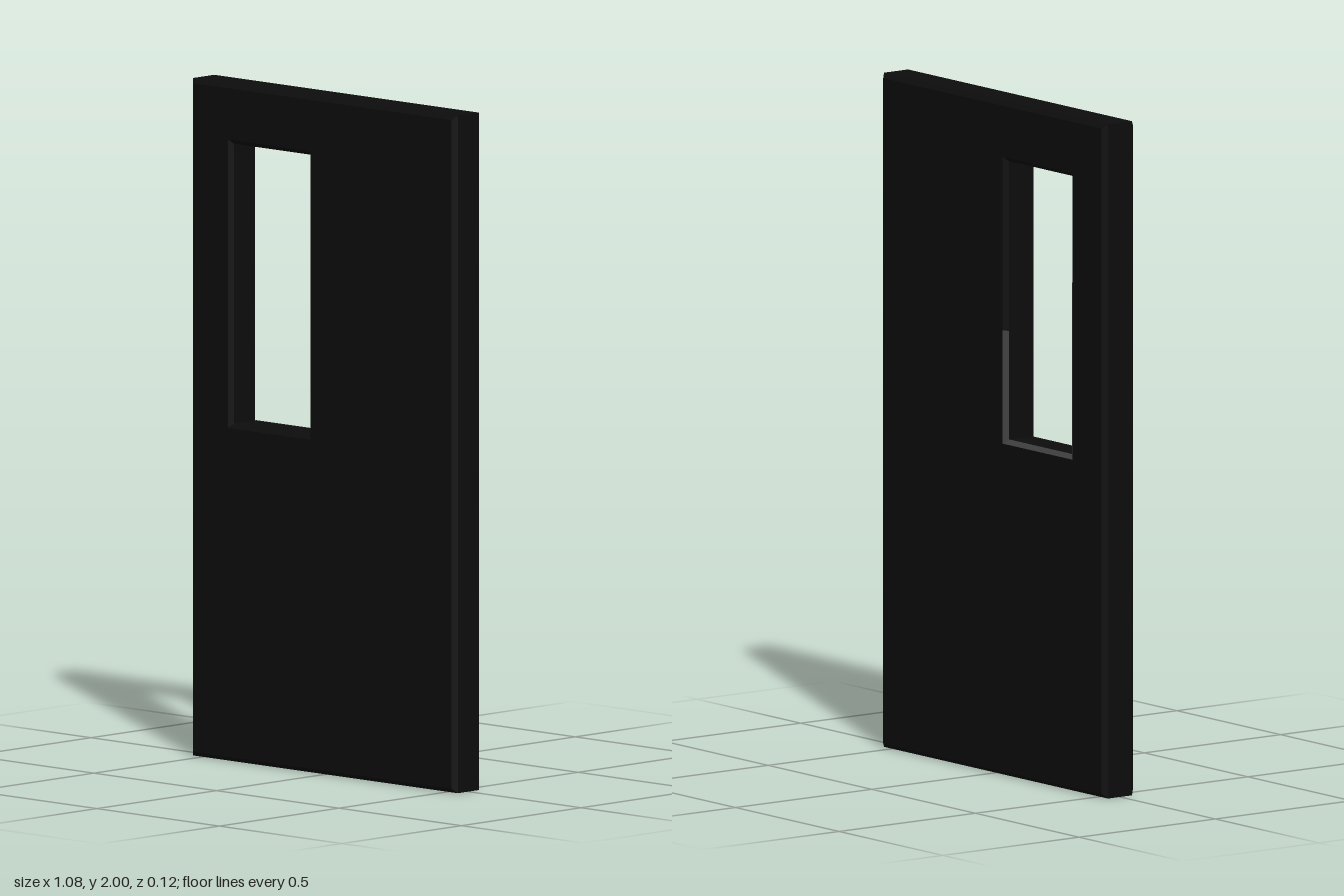
import * as THREE from 'three';

const W = 0.54, H = 2, D = 0.057, B = 0.013;          // half width, height, half depth, chamfer
const X0 = -0.373, X1 = -0.062, Y0 = 0.997, Y1 = 1.823; // window opening

function rect(path, x0, y0, x1, y1) {
  path.moveTo(x0, y0);
  path.lineTo(x1, y0);
  path.lineTo(x1, y1);
  path.lineTo(x0, y1);
  path.closePath();
  return path;
}

// thin four-cornered strip
function strip(name, corners, material) {
  const g = new THREE.BufferGeometry();
  g.setAttribute('position', new THREE.Float32BufferAttribute(corners.flat(), 3));
  g.setIndex([0, 1, 2, 0, 2, 3]);
  g.computeVertexNormals();
  const mesh = new THREE.Mesh(g, material);
  mesh.name = name;
  return mesh;
}

export function createModel() {
  const group = new THREE.Group();
  group.name = 'door';
  const black = new THREE.MeshStandardMaterial({ color: 0x0c0c0c });
  black.name = 'black';
  const grey = new THREE.MeshStandardMaterial({ color: 0x404040, side: THREE.DoubleSide });
  grey.name = 'worn grey';

  // chamfered slab with window opening
  const shape = rect(new THREE.Shape(), -W, 0, W, H);
  shape.holes.push(rect(new THREE.Path(), X0, Y0, X1, Y1));
  const slabGeometry = new THREE.ExtrudeGeometry(shape, {
    depth: 2 * (D - B), bevelEnabled: true, bevelThickness: B,
    bevelSize: B, bevelOffset: -B, bevelSegments: 1,
  });
  slabGeometry.translate(0, 0, -(D - B));
  const slab = new THREE.Mesh(slabGeometry, black);
  slab.name = 'doorSlab';
  group.add(slab);

  // bare chamfer around the lower part of the window, on the back
  const e = 0.001, zIn = -(D - B) - e, zOut = -D - e;
  group.add(strip('windowSillEdge', [
    [X0, Y0 + e, zIn], [X1, Y0 + e, zIn],
    [X1 + B, Y0 - B + e, zOut], [X0 - B, Y0 - B + e, zOut],
  ], grey));
  for (const [name, x, s, top] of [
    ['windowRightEdge', X0, -1, 1.51],
    ['windowLeftEdge', X1, 1, 1.32],
  ]) {
    const dx = -s * e;
    group.add(strip(name, [
      [x + dx, Y0, zIn], [x + dx, top, zIn],
      [x + s * B + dx, top, zOut], [x + s * B + dx, Y0 - B, zOut],
    ], grey));
  }
  return group;
}
